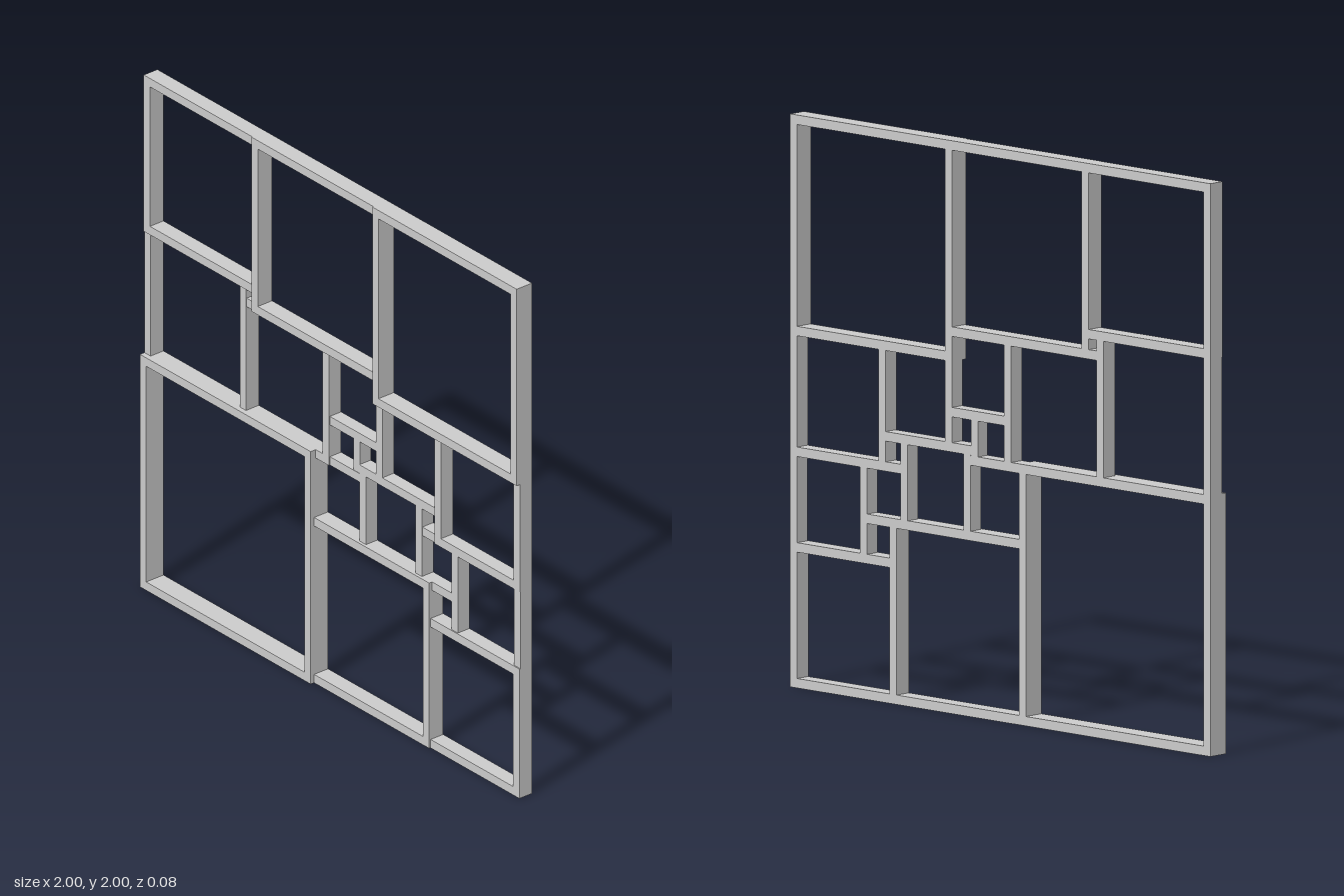
import * as THREE from 'three';

const WALL = 0.033;              // thickness of every frame wall
const PITCH = (2 - WALL) / 112;  // size of one layout unit
const BACK = -0.039;             // all frames share this back plane

// Square frames: [left, bottom, side] in layout units
const FRAMES = [
  [0, 79, 33], [33, 75, 37], [70, 70, 42],
  [0, 50, 29], [29, 75, 4], [29, 50, 25], [54, 59, 16],
  [54, 50, 9], [63, 52, 7], [63, 50, 2], [70, 52, 18], [88, 46, 24],
  [0, 0, 50], [50, 35, 15], [65, 35, 17], [82, 35, 11], [82, 46, 6],
  [93, 27, 19], [85, 27, 8], [50, 0, 35], [85, 0, 27],
];

// Larger frames stand further forward
const frameDepth = (side) => 0.048 + 1.2e-5 * side * side;

function squarePath(PathType, x, y, s) {
  return new PathType([
    new THREE.Vector2(x, y), new THREE.Vector2(x + s, y),
    new THREE.Vector2(x + s, y + s), new THREE.Vector2(x, y + s),
  ]);
}

export function createModel() {
  const group = new THREE.Group();
  group.name = 'squareLattice';
  const material = new THREE.MeshStandardMaterial({ color: 0xcccccc });

  // Neighbouring frames overlap by exactly one wall
  for (const [left, bottom, side] of FRAMES) {
    const size = side * PITCH + WALL;
    const shape = squarePath(THREE.Shape, 0, 0, size);
    shape.holes.push(squarePath(THREE.Path, WALL, WALL, size - 2 * WALL));
    const geometry = new THREE.ExtrudeGeometry(shape, {
      depth: frameDepth(side), bevelEnabled: false,
    });
    const frame = new THREE.Mesh(geometry, material);
    frame.name = `squareFrame${side}`;
    frame.position.set(-1 + left * PITCH, bottom * PITCH, BACK);
    group.add(frame);
  }
  return group;
}
